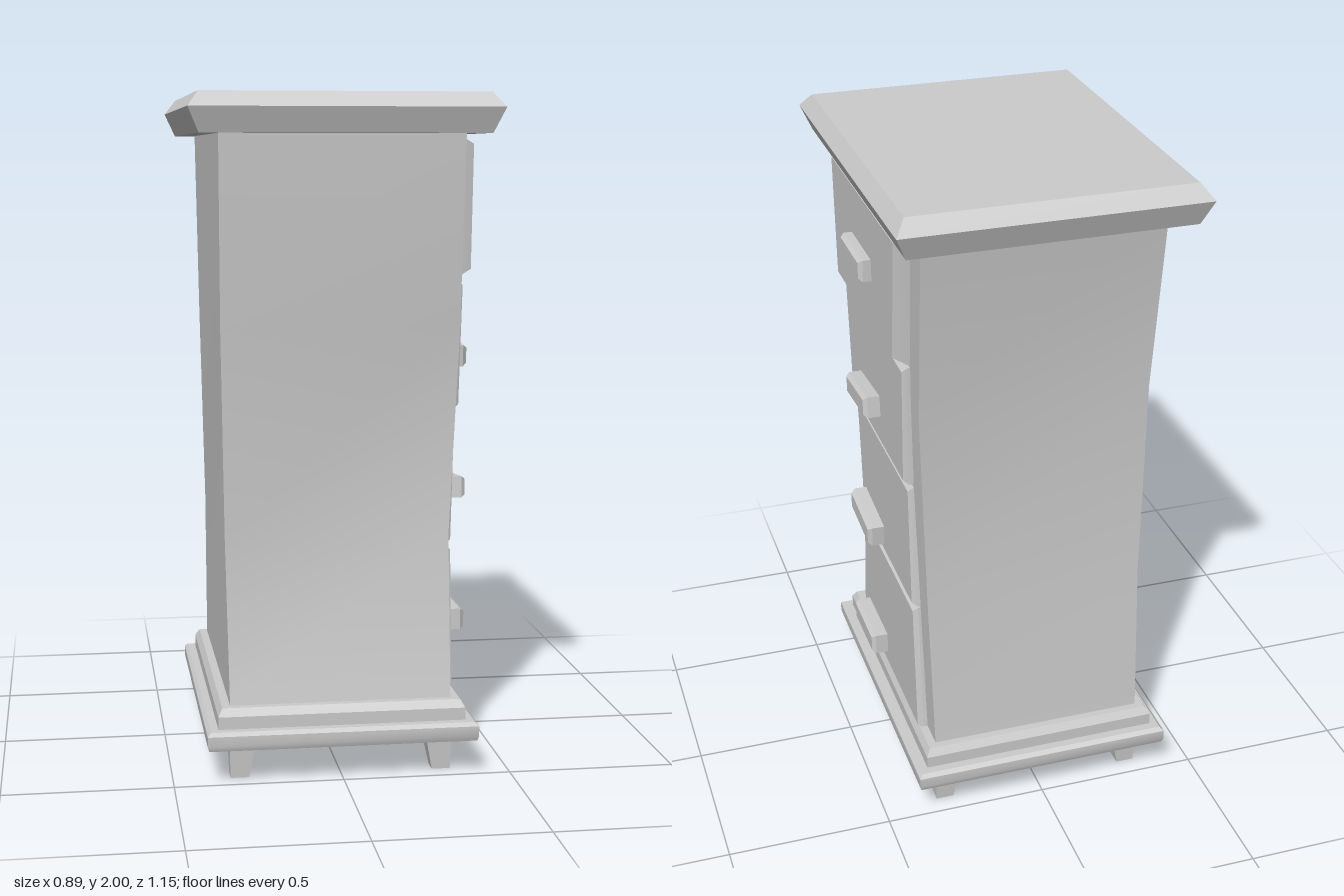
import * as THREE from 'three';
import { toCreasedNormals } from 'three/addons/utils/BufferGeometryUtils.js';

const material = new THREE.MeshStandardMaterial({ color: 0xcccccc });

// Closed solid skinned over four-cornered rings, each counterclockwise seen from the last ring's end
function loft(name, rings) {
  const index = [];
  const last = (rings.length - 1) * 4;
  for (let i = 0; i < last; i += 4) {
    for (let j = 0; j < 4; j++) {
      const k = (j + 1) % 4;
      const a = i + j, b = i + k, c = i + 4 + k, d = i + 4 + j;
      index.push(a, b, c, a, c, d);
    }
  }
  index.push(0, 2, 1, 0, 3, 2, last, last + 1, last + 2, last, last + 2, last + 3);
  const geometry = new THREE.BufferGeometry();
  geometry.setAttribute('position', new THREE.Float32BufferAttribute(rings.flat(2), 3));
  geometry.setIndex(index);
  const mesh = new THREE.Mesh(toCreasedNormals(geometry, 0.45), material);
  mesh.name = name;
  return mesh;
}

// Horizontal rectangle at height y
const level = (y, x0, x1, z0, z1) => [[x0, y, z1], [x1, y, z1], [x1, y, z0], [x0, y, z0]];
const centred = (y, x, z) => level(y, -x, x, -z, z);

// Upright quad at x: bottom and top heights, with front and back z at each
const panel = (x, y0, y1, f0, b0, f1, b1) => [[x, y0, f0], [x, y0, b0], [x, y1, b1], [x, y1, f1]];

export function createModel() {
  const group = new THREE.Group();

  // Warped cabinet body
  group.add(loft('body', [
    level(0.21, -0.33, 0.33, -0.44, 0.44),
    level(0.7, -0.335, 0.337, -0.405, 0.355),
    level(1.33, -0.35, 0.35, -0.395, 0.43),
    level(1.89, -0.355, 0.355, -0.47, 0.47),
  ]));

  // Bevelled top
  group.add(loft('top', [
    centred(1.885, 0.415, 0.545),
    centred(1.957, 0.447, 0.573),
    centred(2, 0.415, 0.532),
  ]));

  // Stepped plinth
  group.add(loft('plinth', [
    centred(0.105, 0.398, 0.51),
    centred(0.12, 0.402, 0.516),
    centred(0.15, 0.402, 0.516),
    centred(0.16, 0.392, 0.503),
  ]));
  group.add(loft('plinthStep', [
    centred(0.158, 0.368, 0.477),
    centred(0.197, 0.368, 0.477),
    centred(0.22, 0.355, 0.462),
  ]));

  // Tapered feet: outer faces nearly upright, inner faces sloping
  for (const sx of [-1, 1]) {
    for (const sz of [-1, 1]) {
      const ring = (y, xo, xi, zo, zi) => level(y,
        Math.min(sx * xo, sx * xi), Math.max(sx * xo, sx * xi),
        Math.min(sz * zo, sz * zi), Math.max(sz * zo, sz * zi));
      group.add(loft('foot', [
        ring(0, 0.33, 0.275, 0.44, 0.392),
        ring(0.108, 0.333, 0.255, 0.447, 0.355),
      ]));
    }
  }

  // Crooked drawers: heights, front/back z at bottom and top, seat x, face x, bevels, handle height and tilt
  const drawers = [
    { y: [1.465, 1.882], z: [0.35, -0.32, 0.375, -0.365], seat: 0.354, face: 0.4, bevel: 0.026, side: 0.012, handle: [1.67, 0] },
    { y: [1.07, 1.458], z: [0.305, -0.305, 0.35, -0.32], seat: 0.358, face: 0.375, bevel: 0.014, side: 0.007, handle: [1.22, 0.09] },
    { y: [0.65, 1.058], z: [0.27, -0.32, 0.31, -0.305], seat: 0.346, face: 0.362, bevel: 0.014, side: 0.007, handle: [0.79, -0.09] },
    { y: [0.215, 0.645], z: [0.32, -0.35, 0.28, -0.32], seat: 0.344, face: 0.36, bevel: 0.012, side: 0.007, handle: [0.378, 0] },
  ];
  for (const { y: [y0, y1], z: [f0, b0, f1, b1], seat, face, bevel, side, handle } of drawers) {
    group.add(loft('drawer', [
      panel(0.3, y0, y1, f0, b0, f1, b1),
      panel(seat, y0, y1, f0, b0, f1, b1),
      panel(face, y0 + bevel, y1 - bevel, f0 - side, b0 + side, f1 - side, b1 + side),
    ]));

    // Chamfered bar handle
    const bar = (x, h, w) => panel(x, -h, h, w, -w, w, -w);
    const pull = loft('handle', [
      bar(0.387, 0.033, 0.112),
      bar(0.425, 0.033, 0.112),
      bar(0.437, 0.024, 0.102),
    ]);
    pull.position.set(0, handle[0], 0.017);
    pull.rotation.x = handle[1];
    group.add(pull);
  }

  return group;
}
